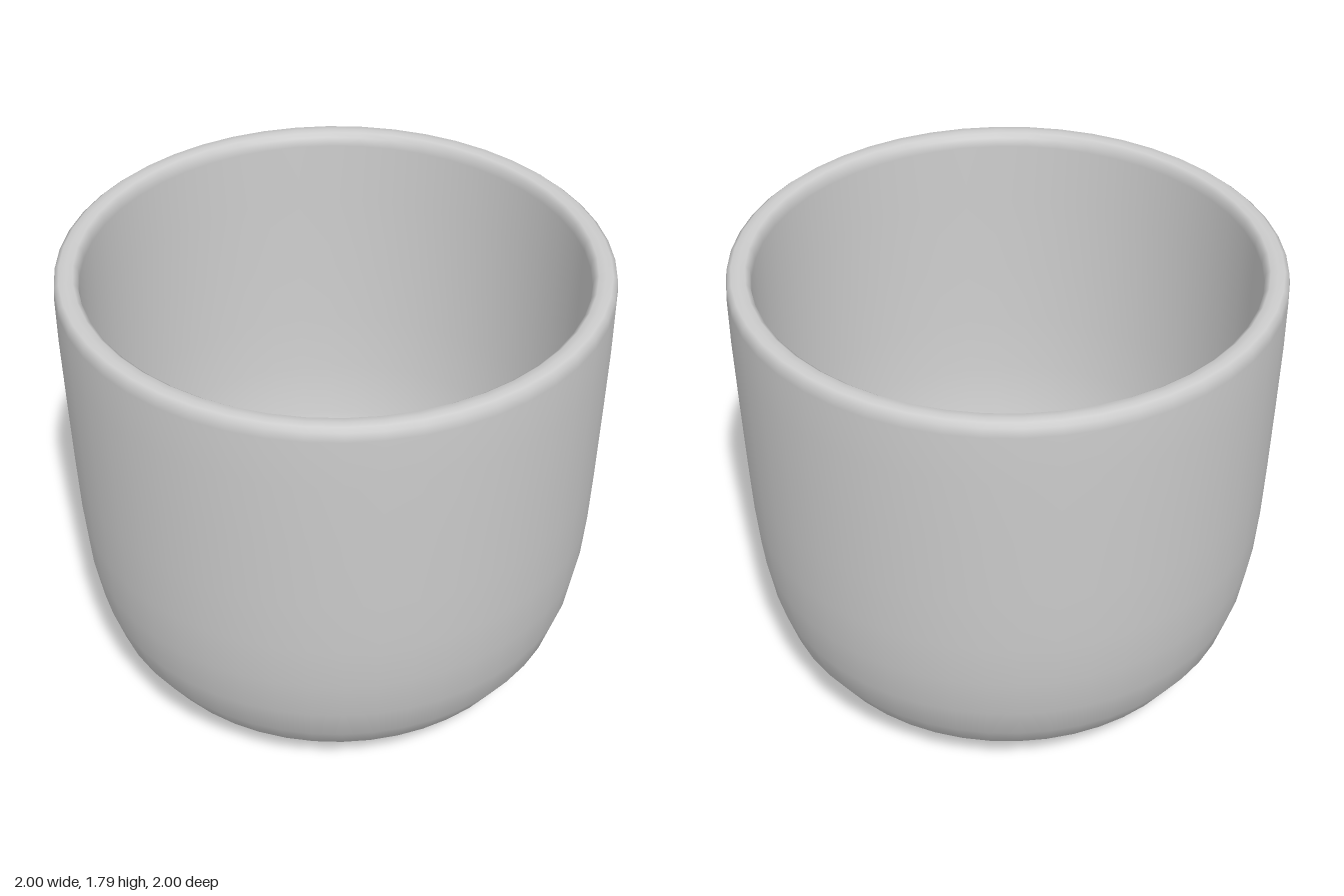
import * as THREE from 'three';

export function createModel() {
  const model = new THREE.Group();
  const ceramic = new THREE.MeshStandardMaterial({ color: 0xcccccc });
  ceramic.name = 'light grey ceramic';

  // One closed profile: base, outer wall, rounded rim, inner wall, inner floor
  const profile = [
    [0, 0], [0.46, 0], [0.54, 0.01], [0.61, 0.035], [0.69, 0.09], [0.8, 0.19],
    [0.88, 0.31], [0.925, 0.45], [0.955, 0.62], [0.97, 0.8], [0.98, 1.02],
    [0.99, 1.3], [0.998, 1.55], [1, 1.74], [0.996, 1.775], [0.98, 1.788],
    [0.955, 1.79], [0.93, 1.788], [0.914, 1.775], [0.91, 1.74],
    [0.908, 1.5], [0.9, 1.2], [0.89, 0.95], [0.875, 0.72], [0.845, 0.5],
    [0.79, 0.34], [0.7, 0.21], [0.6, 0.135], [0.5, 0.105], [0.4, 0.1], [0, 0.1],
  ].map(([r, y]) => new THREE.Vector2(r, y));

  const cup = new THREE.Mesh(new THREE.LatheGeometry(profile, 48), ceramic);
  cup.name = 'cup';
  model.add(cup);
  return model;
}
